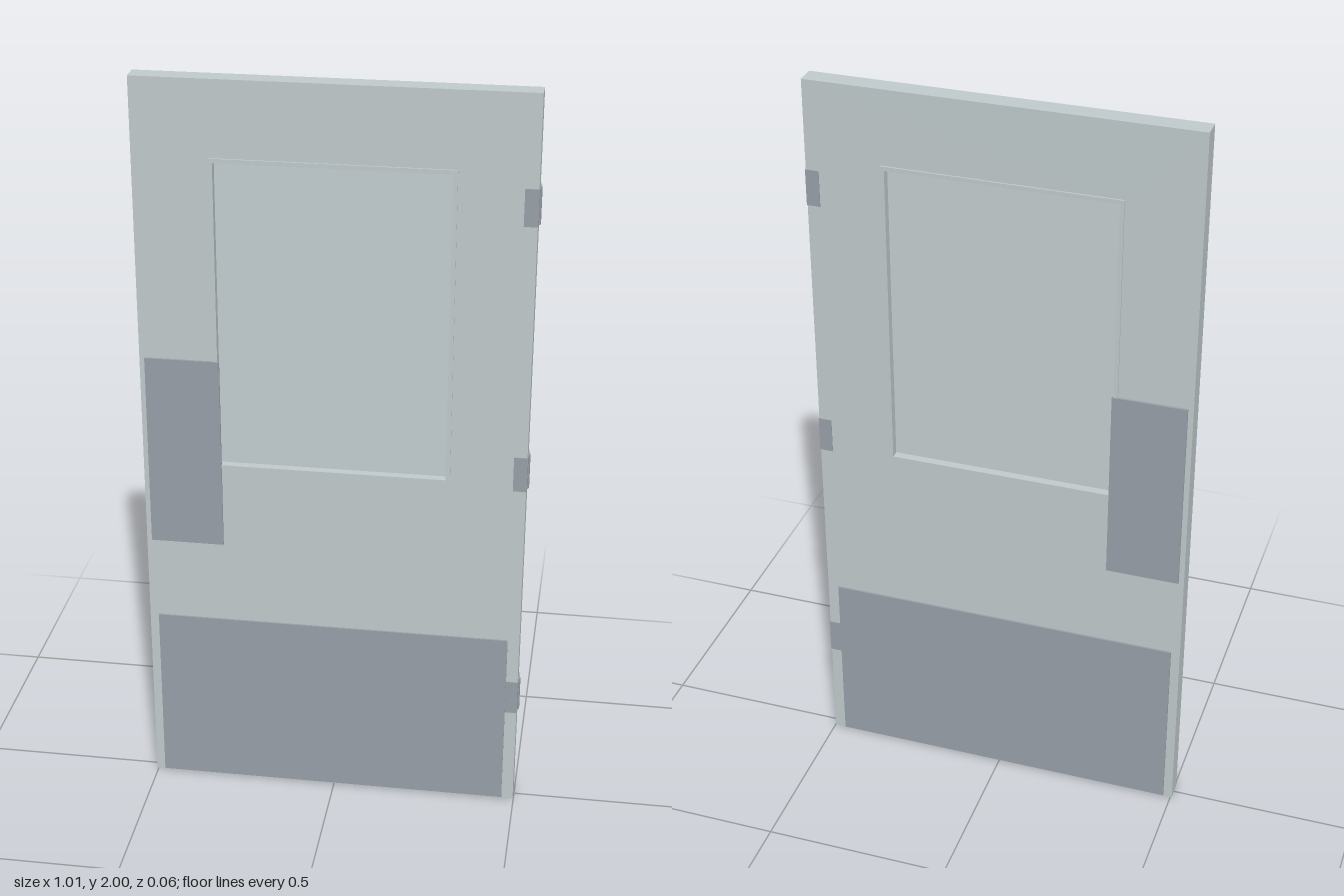
import * as THREE from 'three';

export function createModel() {
  const door = new THREE.Group();
  door.name = 'door';

  const paint = new THREE.MeshStandardMaterial({ name: 'paleGreyPaint', color: 0xbfc9cb });
  const glassMat = new THREE.MeshStandardMaterial({ name: 'paleGlass', color: 0xc2cccf });
  const steel = new THREE.MeshStandardMaterial({ name: 'greySteel', color: 0x979fa7 });

  const add = (name, geometry, material) => {
    const mesh = new THREE.Mesh(geometry, material);
    mesh.name = name;
    door.add(mesh);
    return mesh;
  };

  // Box given by its low and high corners
  const box = (name, [x0, y0, z0], [x1, y1, z1], material) =>
    add(name, new THREE.BoxGeometry(x1 - x0, y1 - y0, z1 - z0), material)
      .position.set((x0 + x1) / 2, (y0 + y1) / 2, (z0 + z1) / 2);

  // Rectangular ring centred on z = 0
  const trace = (path, x0, y0, x1, y1) =>
    path.moveTo(x0, y0).lineTo(x1, y0).lineTo(x1, y1).lineTo(x0, y1).closePath();
  const ring = (name, outer, inner, depth, material) => {
    const shape = trace(new THREE.Shape(), ...outer);
    shape.holes.push(trace(new THREE.Path(), ...inner));
    const geometry = new THREE.ExtrudeGeometry(shape, { depth, bevelEnabled: false });
    geometry.translate(0, 0, -depth / 2);
    add(name, geometry, material);
  };

  // Door leaf with window opening, slim frame and recessed pane
  const opening = [-0.305, 0.965, 0.296, 1.796];
  const frameOuter = [-0.311, 0.959, 0.302, 1.802];
  const frameInner = [-0.3, 0.97, 0.291, 1.791];
  ring('leaf', [-0.504, 0, 0.498, 2], opening, 0.052, paint);
  ring('windowFrame', frameOuter, frameInner, 0.061, paint);
  box('windowPane', [-0.303, 0.967, -0.008], [0.294, 1.794, 0.008], glassMat);

  // Kick and push plates on both faces
  for (const [side, s] of [['front', 1], ['back', -1]]) {
    const z = [0.025 * s, 0.031 * s].sort((a, b) => a - b);
    const zPush = [0.025 * s, 0.032 * s].sort((a, b) => a - b);
    box(side + 'KickPlate', [-0.48, 0.005, z[0]], [0.467, 0.505, z[1]], steel);
    box(side + 'PushPlate', [-0.49, 0.735, zPush[0]], [-0.296, 1.262, zPush[1]], steel);
  }

  // Three hinges: leaves wrapped round the edge, with a knuckle
  for (const y of [0.328, 0.998, 1.715]) {
    box('hingeLeaf', [0.464, y - 0.048, -0.0275], [0.4995, y + 0.048, 0.0275], steel);
    add('hingeKnuckle', new THREE.CylinderGeometry(0.01, 0.01, 0.096, 16), steel)
      .position.set(0.494, y, 0);
  }
  return door;
}
